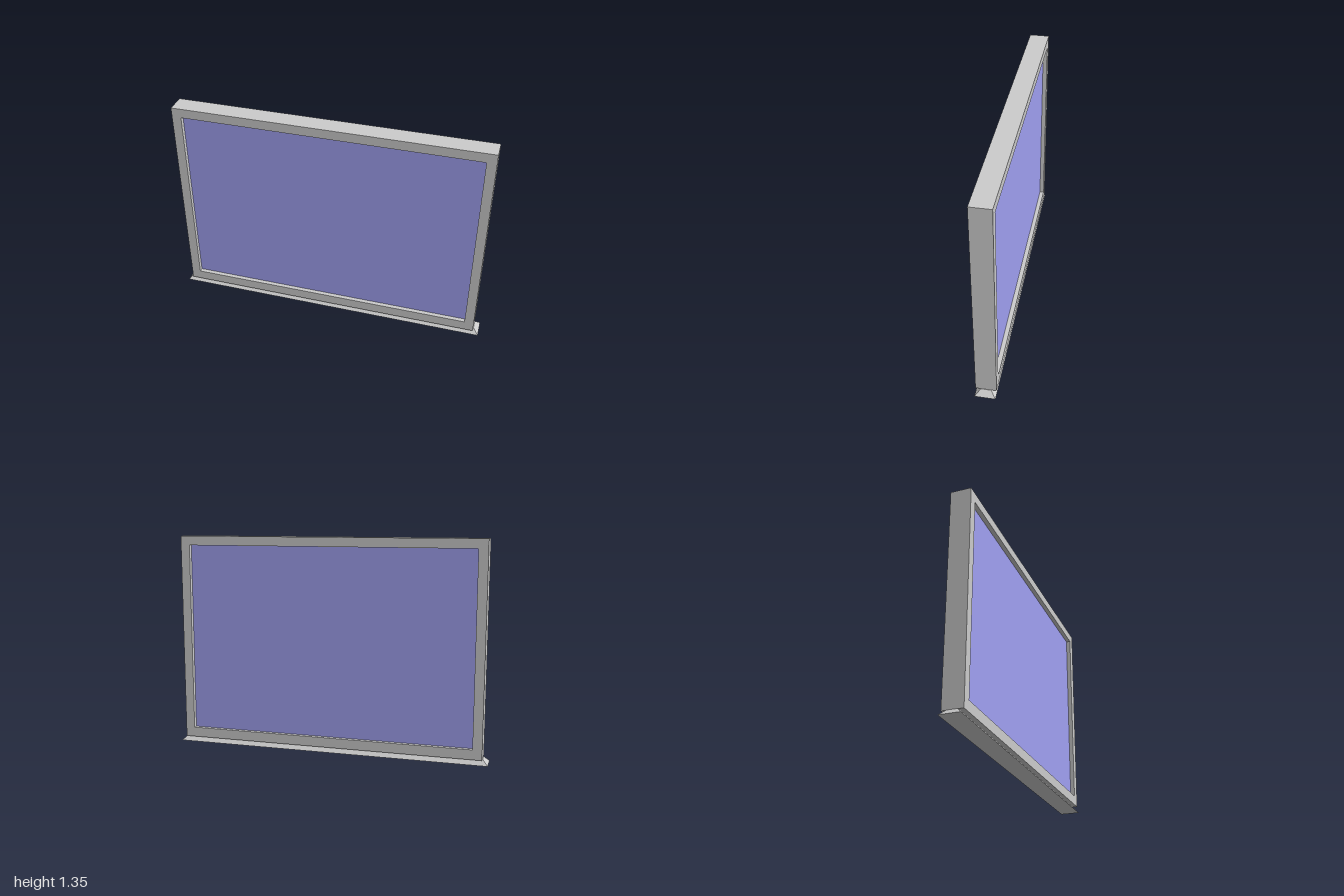
import * as THREE from 'three';

const grey = new THREE.MeshStandardMaterial({ color: 0xcccccc });
const blue = new THREE.MeshStandardMaterial({ color: 0xa0a0f1 });

// Closed rectangle added to a Shape or Path
function rect(path, x, y0, y1) {
  path.moveTo(-x, y0);
  path.lineTo(x, y0);
  path.lineTo(x, y1);
  path.lineTo(-x, y1);
  path.closePath();
  return path;
}

export function createModel() {
  const group = new THREE.Group();
  const depth = 0.124, baseTop = 0.033;

  const add = (name, geometry, material) => {
    const mesh = new THREE.Mesh(geometry, material);
    mesh.name = name;
    group.add(mesh);
    return mesh;
  };

  // Rectangular surround with an open centre
  const outline = rect(new THREE.Shape(), 0.965, baseTop, 1.345);
  outline.holes.push(rect(new THREE.Path(), 0.907, 0.095, 1.287));
  const frame = new THREE.ExtrudeGeometry(outline, { depth, bevelEnabled: false });
  frame.translate(0, 0, -depth / 2);
  add('frame', frame, grey);

  // Panel recessed from both faces of the frame
  add('panel', new THREE.BoxGeometry(1.814, 1.192, 0.07), blue).position.y = 0.691;

  // Base strip: a box whose top is drawn in to slope all four sides
  const base = new THREE.BoxGeometry(2, baseTop, depth);
  base.translate(0, baseTop / 2, 0);
  const p = base.attributes.position;
  for (let i = 0; i < p.count; i++) {
    if (p.getY(i) > 0.01) {
      p.setX(i, Math.sign(p.getX(i)) * 0.967);
      p.setZ(i, Math.sign(p.getZ(i)) * 0.03);
    }
  }
  base.computeVertexNormals();
  add('base', base, grey);

  return group;
}
